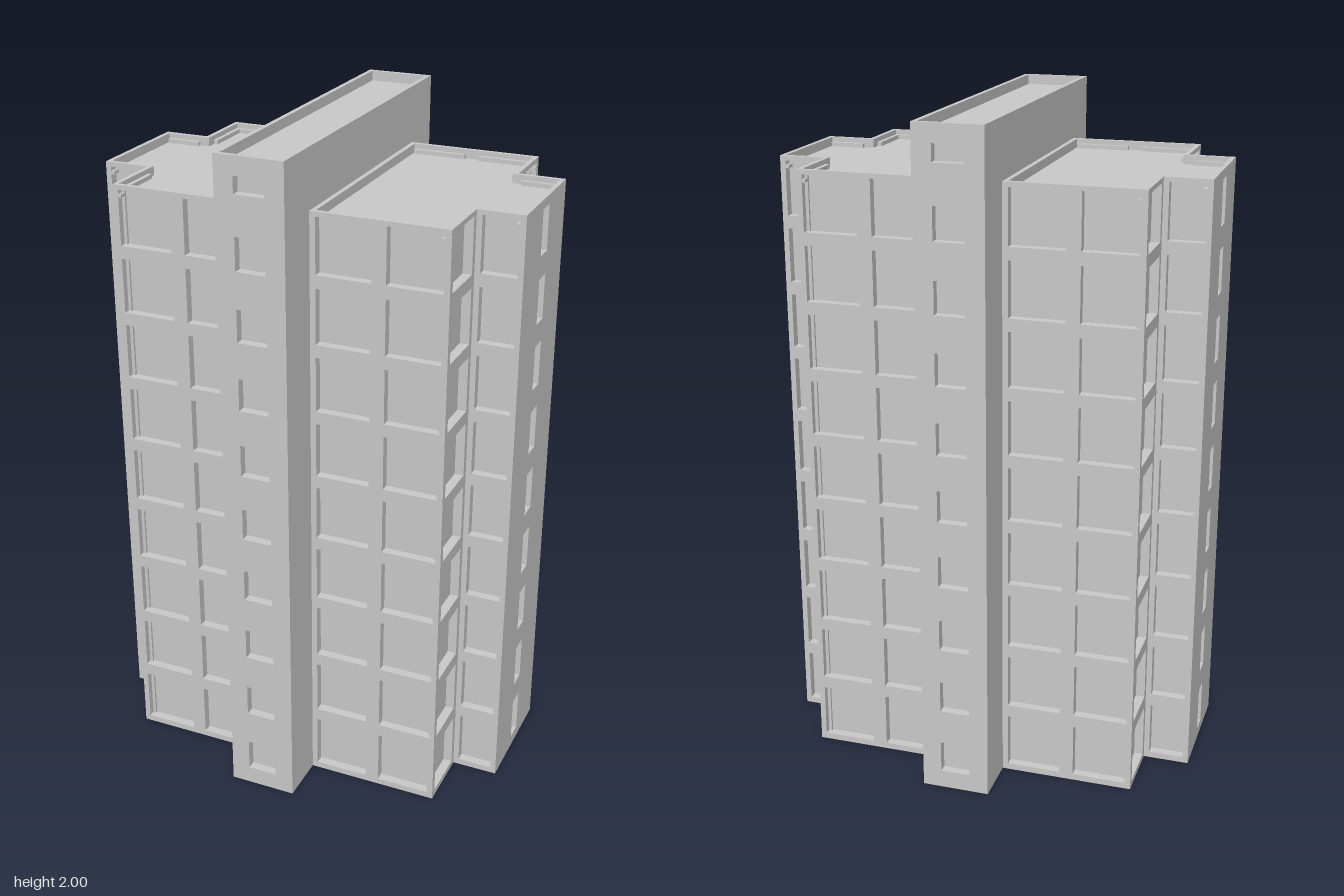
import * as THREE from 'three';
import { mergeGeometries } from 'three/addons/utils/BufferGeometryUtils.js';

const mat = new THREE.MeshStandardMaterial({ color: 0xcccccc, side: THREE.DoubleSide });
const T = 0.014;            // wall and parapet thickness
const D = 0.027;            // window recess depth
const PITCH = 0.2036;       // storey height
const FLOORS = 9;
const CORE = { x: 0.102, z: 0.531, top: 2, roof: 1.97 };
const BODY = { x: 0.505, z: 0.379, top: 1.827, roof: 1.8 };
const WING = { x: 0.644, z: 0.185 };

function mesh(name, geometry) {
  const m = new THREE.Mesh(geometry, mat);
  m.name = name;
  return m;
}

function box(name, x0, x1, y0, y1, z0, z1) {
  const g = new THREE.BoxGeometry(x1 - x0, y1 - y0, z1 - z0);
  g.translate((x0 + x1) / 2, (y0 + y1) / 2, (z0 + z1) / 2);
  return mesh(name, g);
}

// Closed rectangle, used for wall outlines and window openings
function rect(PathType, x0, x1, y0, y1) {
  return new PathType([[x0, y0], [x1, y0], [x1, y1], [x0, y1]].map(p => new THREE.Vector2(...p)));
}

// Horizontal flat surface from a list of [x, z] corners
function slab(name, corners, y, down = false) {
  const g = new THREE.ShapeGeometry(new THREE.Shape(corners.map(p => new THREE.Vector2(...p))));
  g.rotateX(down ? Math.PI / 2 : -Math.PI / 2);
  g.translate(0, y, 0);
  return mesh(name, g);
}

// Same window repeated on every storey
function storeys(x, width, y0, height) {
  return Array.from({ length: FLOORS }, (_, i) => ({
    x0: x - width / 2, x1: x + width / 2, y0: y0 + i * PITCH, y1: y0 + height + i * PITCH,
  }));
}

// Wall with its outer face on local z = 0, pierced by recessed windows
function wall(name, length, height, windows) {
  const g = new THREE.Group();
  g.name = name;
  const shape = rect(THREE.Shape, -length / 2, length / 2, 0, height);
  windows.forEach(w => shape.holes.push(rect(THREE.Path, w.x0, w.x1, w.y0, w.y1)));
  const panel = new THREE.ExtrudeGeometry(shape, { depth: T, bevelEnabled: false });
  panel.translate(0, 0, -T);
  g.add(mesh('wallPanel', panel));
  if (windows.length) {
    // Boxes open at the front form the window recesses
    const niches = windows.map(w => {
      const b = new THREE.BoxGeometry(w.x1 - w.x0, w.y1 - w.y0, D - T);
      const index = Array.from(b.index.array);
      index.splice(24, 6);
      b.setIndex(index);
      b.clearGroups();
      b.translate((w.x0 + w.x1) / 2, (w.y0 + w.y1) / 2, -(D + T) / 2);
      return b;
    });
    g.add(mesh('windowRecesses', mergeGeometries(niches)));
  }
  return g;
}

// Roof strips that fill the edge between the topmost recesses
function addRoofEdge(g, length, windows) {
  const cuts = windows.filter(w => w.y1 > BODY.roof).sort((a, b) => a.x0 - b.x0);
  let start = -length / 2;
  for (const end of [...cuts, null]) {
    const stop = end ? end.x0 : length / 2;
    g.add(box('roofEdge', start, stop, BODY.roof - 0.01, BODY.roof, -D, -T));
    if (end) start = end.x1;
  }
}

function place(g, x, z, angle) {
  g.position.set(x, 0, z);
  g.rotation.y = angle;
  return g;
}

// One side of the building: body plus narrower end wing
function createHalf(name) {
  const half = new THREE.Group();
  half.name = name;
  const add = (label, length, windows, x, z, angle) => {
    const w = wall(label, length, BODY.top, windows);
    addRoofEdge(w, length, windows);
    half.add(place(w, x, z, angle));
  };
  const bodyLen = BODY.x - CORE.x, sideLen = BODY.z - WING.z, wingLen = WING.x - BODY.x;
  const bodyWindows = [-0.103, 0.103].flatMap(x => storeys(x, 0.163, 0.019, 0.165));

  for (const s of [1, -1]) {
    const facing = s > 0 ? 0 : Math.PI;
    add('bodyWall', bodyLen, bodyWindows, (CORE.x + BODY.x) / 2, s * BODY.z, facing);
    add('bodySideWall', sideLen, storeys(0, 0.155, 0.019, 0.165),
      BODY.x, s * (BODY.z + WING.z) / 2, Math.PI / 2);
    add('wingWall', wingLen, storeys(0, 0.106, 0.019, 0.165),
      (BODY.x + WING.x) / 2, s * WING.z, facing);
    // Fill the inner corner where body and wing meet
    for (const [size, top] of [[T, BODY.top], [D, BODY.roof]]) {
      const [z0, z1] = [s * WING.z, s * (WING.z - size)].sort((a, b) => a - b);
      half.add(box('innerCorner', BODY.x - size, BODY.x, 0, top, z0, z1));
    }
  }
  add('wingEndWall', 2 * WING.z, storeys(0, 0.058, 0.035, 0.135), WING.x, 0, Math.PI / 2);

  // Roof and the curb beside the core
  const bx = BODY.x - D, bz = BODY.z - D, wx = WING.x - D, wz = WING.z - D;
  half.add(slab('bodyRoof', [[CORE.x, -bz], [bx, -bz], [bx, -wz], [wx, -wz],
    [wx, wz], [bx, wz], [bx, bz], [CORE.x, bz]], BODY.roof));
  half.add(box('coreCurb', CORE.x, CORE.x + T, BODY.roof - 0.01, BODY.top, -BODY.z + T, BODY.z - T));

  // Underside
  half.add(slab('underside', [[CORE.x, -BODY.z], [BODY.x, -BODY.z], [BODY.x, -WING.z], [WING.x, -WING.z],
    [WING.x, WING.z], [BODY.x, WING.z], [BODY.x, BODY.z], [CORE.x, BODY.z]], 0, true));
  return half;
}

// Tall central stair core
function createCore() {
  const core = new THREE.Group();
  core.name = 'stairCore';
  const windows = [...storeys(0, 0.09, 0.055, 0.097), { x0: -0.045, x1: 0.045, y0: 1.896, y1: 1.946 }];
  for (const s of [1, -1]) {
    core.add(place(wall('coreEndWall', 2 * CORE.x, CORE.top, windows), 0, s * CORE.z, s > 0 ? 0 : Math.PI));
    core.add(place(wall('coreSideWall', 2 * CORE.z, CORE.top, []), s * CORE.x, 0, s * Math.PI / 2));
  }
  const corners = (x, z) => [[-x, -z], [x, -z], [x, z], [-x, z]];
  core.add(slab('coreRoof', corners(CORE.x - T, CORE.z - T), CORE.roof));
  core.add(slab('coreUnderside', corners(CORE.x, CORE.z), 0, true));
  return core;
}

export function createModel() {
  const model = new THREE.Group();
  model.name = 'apartmentTower';
  const left = createHalf('leftHalf');
  const right = createHalf('rightHalf');
  right.rotation.y = Math.PI;
  model.add(createCore(), left, right);
  return model;
}
